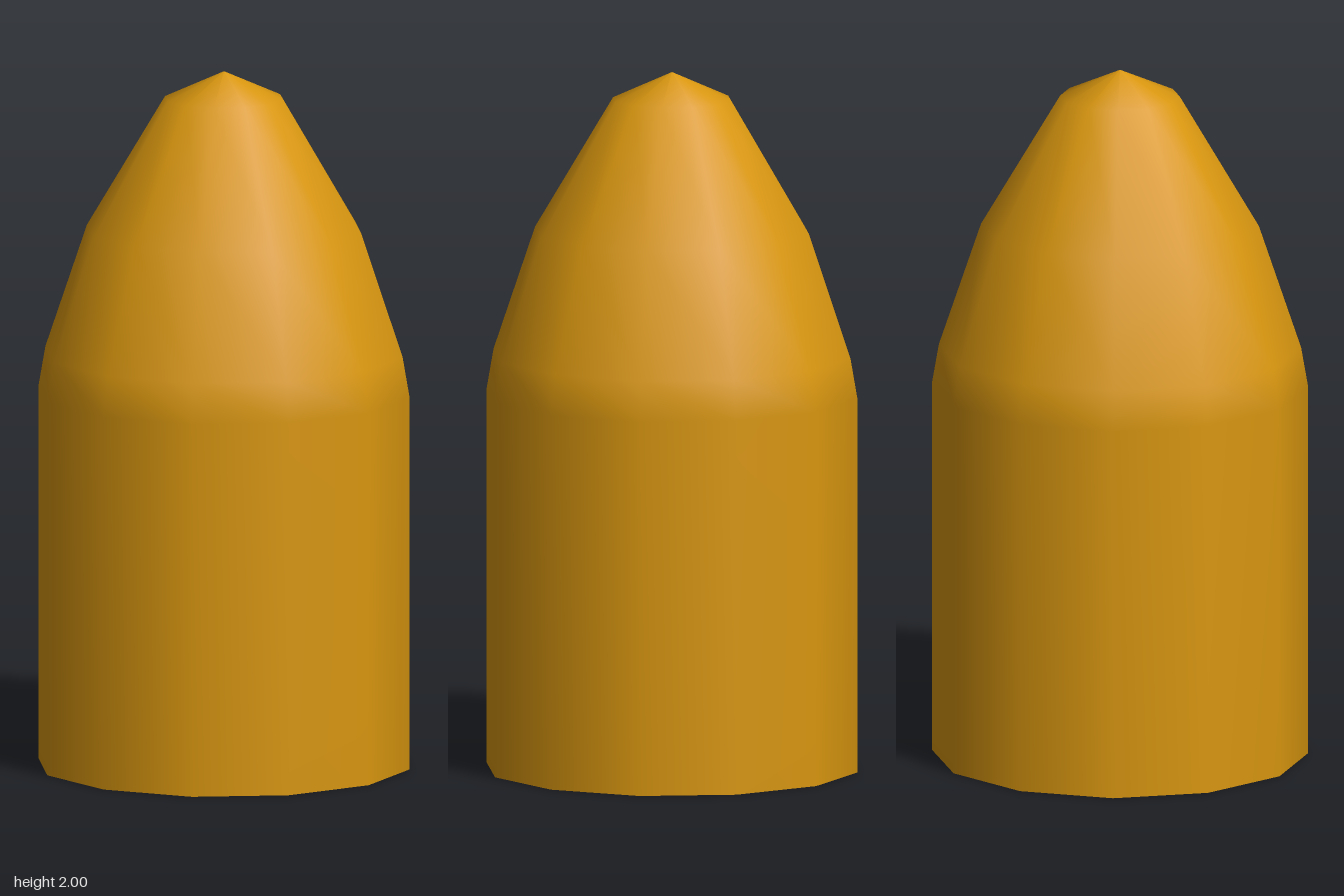
import * as THREE from 'three';

const SIDES = 12;
const RADIUS = 0.535;

export function createModel() {
  const group = new THREE.Group();
  group.name = 'bullet';
  const material = new THREE.MeshStandardMaterial({ color: 0xd8960f });

  const add = (name, geometry) => {
    const mesh = new THREE.Mesh(geometry, material);
    mesh.name = name;
    group.add(mesh);
  };

  // Straight body tapering through a pointed nose, smooth shaded
  const profile = [
    [RADIUS, 0], [RADIUS, 1.075], [0.515, 1.19],
    [0.395, 1.545], [0.17, 1.923], [0, 2],
  ].map(([r, y]) => new THREE.Vector2(r, y));
  add('bodyAndNose', new THREE.LatheGeometry(profile, SIDES));

  // Flat underside, with a sharp edge to the body
  add('base', new THREE.CircleGeometry(RADIUS, SIDES).rotateX(Math.PI / 2));

  return group;
}
